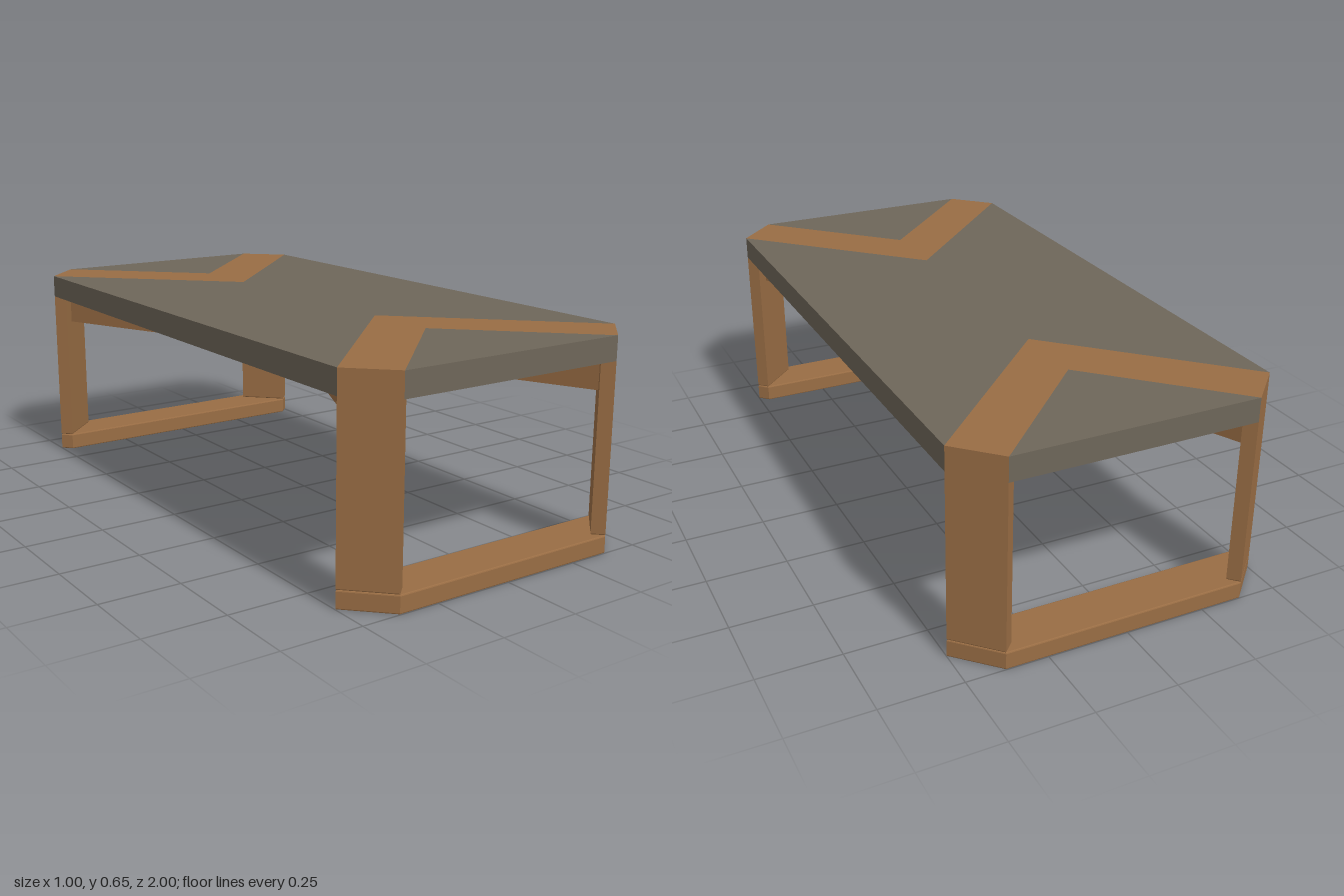
import * as THREE from 'three';

const wood = new THREE.MeshStandardMaterial({ color: 0x996d44 });
wood.name = 'warm wood';
const slate = new THREE.MeshStandardMaterial({ color: 0x6e6659 });
slate.name = 'slate grey';

// Plan dimensions: half width, half length, corner cut, leg thickness (per axis)
const W = 0.5, L = 1, CUT = 0.12, T = 0.03;
// Heights
const FOOT = 0.055, UNDER = 0.576, TOP = 0.65, BRACE = 0.476;

// Prism from a plan outline of [x, z] points between two heights
function slab(name, points, y0, y1, material, bevel = 0) {
  const shape = new THREE.Shape(points.map(([x, z]) => new THREE.Vector2(x, -z)));
  const geo = new THREE.ExtrudeGeometry(shape, {
    depth: y1 - y0 - 2 * bevel,
    bevelEnabled: bevel > 0,
    bevelThickness: bevel,
    bevelSize: bevel,
    bevelOffset: -bevel,
    bevelSegments: 2,
  });
  geo.rotateX(-Math.PI / 2);
  geo.translate(0, y0 + bevel, 0);
  const mesh = new THREE.Mesh(geo, material);
  mesh.name = name;
  return mesh;
}

// One end of the table: legs, floor bar, chevron inlay and end panel
function tableEnd(name) {
  const end = new THREE.Group();
  end.name = name;
  const zc = L - CUT, xc = W - CUT;

  for (const s of [1, -1]) {
    const plan = [[s * W, zc], [s * xc, L], [s * (xc - T), L - T], [s * (W - T), zc - T]];
    end.add(slab(s > 0 ? 'leftLeg' : 'rightLeg', plan, FOOT, UNDER + 0.015, wood, 0.004));
  }

  end.add(slab('floorBar', [
    [W, zc], [xc, L], [-xc, L], [-W, zc], [-W + T, zc - T], [W - T, zc - T],
  ], 0, FOOT, wood, 0.004));

  end.add(slab('chevron', [
    [W, zc], [xc, L], [0, L - xc], [-xc, L], [-W, zc], [0, zc - W],
  ], UNDER, TOP, wood));

  end.add(slab('endPanel', [[xc, L], [0, L - xc], [-xc, L]], UNDER, TOP, slate));
  return end;
}

export function createModel() {
  const table = new THREE.Group();
  table.name = 'coffeeTable';

  // Main top panel, notched for the two chevrons
  const zc = L - CUT;
  table.add(slab('topPanel', [
    [W, zc], [0, zc - W], [-W, zc], [-W, -zc], [0, W - zc], [W, -zc],
  ], UNDER, TOP, slate));

  const front = tableEnd('frontEnd');
  const back = tableEnd('backEnd');
  back.rotation.y = Math.PI;
  table.add(front, back);

  // Crossed braces running from leg to leg below the top
  const ex = 0.418, ez = 0.918, h = 0.0325;
  const len = Math.hypot(ex, ez), s = ex / len, c = ez / len;
  const quarter = [[h / c, 0], [ex + h * c, ez - h * s], [ex - h * c, ez + h * s], [0, h / s]];
  const half = [...quarter, ...quarter.slice(1, 3).reverse().map(([x, z]) => [-x, z])];
  const cross = [...half, ...half.map(([x, z]) => [-x, -z])];
  table.add(slab('crossBrace', cross, BRACE, UNDER, wood));

  return table;
}
